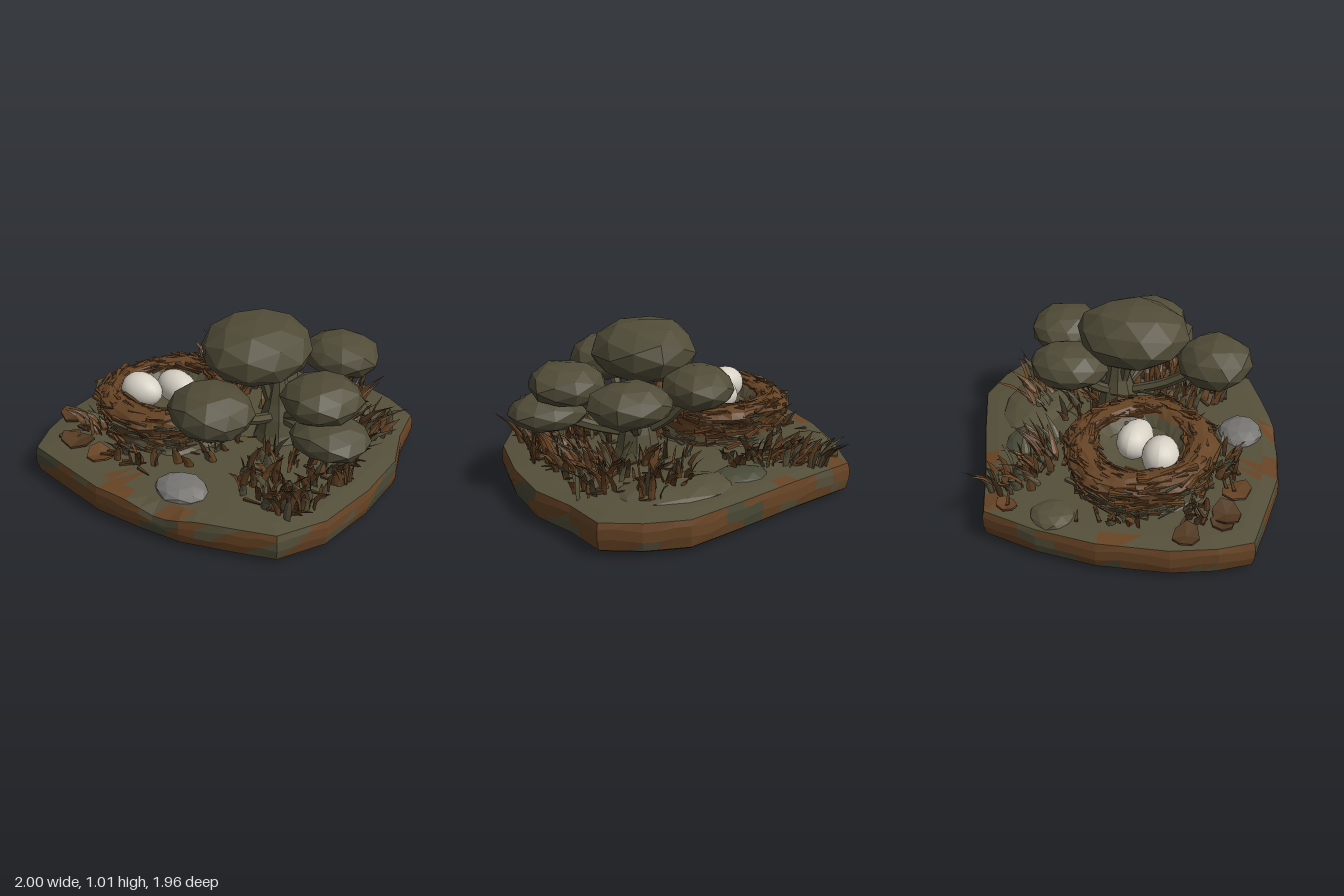
import * as THREE from 'three';
import { mergeGeometries } from 'three/addons/utils/BufferGeometryUtils.js';

const mat = (name, color, flatShading = true) => {
  const m = new THREE.MeshStandardMaterial({ color, flatShading });
  m.name = name;
  return m;
};

export function createModel() {
  const root = new THREE.Group();
  root.name = 'nestIsland';
  const M = {
    olive: mat('olive', 0x55503a),
    foliage: mat('foliage', 0x514c38),
    moss: mat('moss', 0x484936),
    brown: mat('brown', 0x674425),
    darkBrown: mat('darkBrown', 0x523921),
    egg: mat('eggshell', 0xd6d0c4, false),
    stone: mat('stone', 0x777673),
  };
  let seed = 7;
  const rnd = () => {
    seed = (seed * 16807) % 2147483647;
    return seed / 2147483647;
  };
  const range = (a, b) => a + (b - a) * rnd();
  const add = (name, geo, material, parent = root) => {
    const mesh = new THREE.Mesh(geo, material);
    mesh.name = name;
    parent.add(mesh);
    return mesh;
  };
  // move every vertex by a rule
  const warp = (geo, rule) => {
    const p = geo.attributes.position, v = new THREE.Vector3();
    for (let i = 0; i < p.count; i++) {
      rule(v.fromBufferAttribute(p, i));
      p.setXYZ(i, v.x, v.y, v.z);
    }
    geo.computeVertexNormals();
    return geo;
  };
  const wave = (x, y, z) => Math.sin(x * 5.1 + z * 3.7 + 1) * 0.5 + Math.sin(y * 9 - x * 7.3 + z * 6.1) * 0.5;

  // ground slab: scaled outline rings, faces sorted into earth and moss patches
  const outline = [[0.25, -0.98], [0.5, -0.94], [0.72, -0.85], [0.8, -0.6], [0.93, -0.35], [0.98, 0], [0.97, 0.38],
    [0.85, 0.66], [0.6, 0.78], [0.35, 0.89], [0.1, 0.94], [-0.2, 0.98], [-0.45, 0.96], [-0.78, 0.93], [-0.88, 0.75],
    [-0.96, 0.5], [-1, 0.1], [-0.97, -0.25], [-0.89, -0.58], [-0.5, -0.71], [-0.1, -0.86]];
  const edge = [];
  outline.forEach((a, i) => {
    const b = outline[(i + 1) % outline.length];
    for (let k = 0; k < 3; k++) edge.push([a[0] + (b[0] - a[0]) * k / 3, a[1] + (b[1] - a[1]) * k / 3]);
  });
  const rings = [[0, 0.005], [0.6, 0.005], [0.94, 0.012], [0.985, 0.04], [1, 0.1], [1, 0.16], [0.99, 0.2],
    [0.9, 0.213], [0.7, 0.225], [0.4, 0.235], [0, 0.24]];
  const bareSpots = [[-0.12, 0.88, 0.11], [-0.94, 0.2, 0.1], [-0.82, -0.55, 0.08], [-0.42, -0.7, 0.08], [0.3, 0.86, 0.08]];
  const patches = { olive: [], moss: [], brown: [] };
  // worn hollow in the front rim
  const dip = (x, z) => (z > 0.6 ? Math.exp(-(((x - 0.22) / 0.14) ** 2)) : 0);
  const corner = (r, i) => {
    const [x, z] = edge[i % edge.length], [s, y] = rings[r];
    const bump = r > 3 && r < 6 ? 0.012 * wave(x * 3, 0, z * 3) : 0;
    return [x * s, y + bump - (r === 5 || r === 6 ? 0.045 * dip(x, z) : 0), z * s];
  };
  const face = (r, ...pts) => {
    const [x, y, z] = [0, 1, 2].map(k => (pts[0][k] + pts[1][k] + pts[2][k]) / 3);
    const n = wave(x * 1.6, y * 2, z * 1.6);
    let key = 'olive';
    if (r < 2) key = x < -0.15 ? 'brown' : 'olive';
    else if (r < 6) key = n > 0.6 ? 'moss' : n < -0.6 || (r === 5 && dip(x, z) > 0.4) ? 'olive' : 'brown';
    else if (bareSpots.some(([sx, sz, d]) => Math.hypot(x - sx, z - sz) < d)) key = 'brown';
    patches[key].push(...pts.flat());
  };
  for (let r = 0; r < rings.length - 1; r++) {
    for (let i = 0; i < edge.length; i++) {
      const li = corner(r, i), lj = corner(r, i + 1), ui = corner(r + 1, i), uj = corner(r + 1, i + 1);
      if (r > 0) face(r, lj, li, ui);
      if (r < rings.length - 2) face(r, lj, ui, uj);
    }
  }
  const ground = new THREE.Group();
  ground.name = 'ground';
  root.add(ground);
  for (const key in patches) {
    const g = new THREE.BufferGeometry();
    g.setAttribute('position', new THREE.Float32BufferAttribute(patches[key], 3));
    g.computeVertexNormals();
    add('ground ' + key, g, M[key], ground);
  }

  // faceted blobs for foliage and rocks
  const blob = (name, [x, y, z], [rx, ry, rz], material) => {
    const g = warp(new THREE.IcosahedronGeometry(1, 1), v => {
      v.multiplyScalar(1.02 + 0.05 * wave(v.x + x * 3, v.y, v.z + z * 3));
      v.set(x + v.x * rx, y + v.y * ry, z + v.z * rz);
    });
    return add(name, g, material);
  };

  // tree: crowns, trunk and a branch to each crown
  const crowns = [
    [[0.17, 0.835, 0.015], [0.305, 0.18, 0.33]],
    [[-0.035, 0.685, -0.32], [0.205, 0.125, 0.23]],
    [[0.415, 0.68, -0.475], [0.235, 0.125, 0.205]],
    [[0.64, 0.675, 0.02], [0.225, 0.125, 0.23]],
    [[0.745, 0.5, 0.08], [0.23, 0.11, 0.205]],
    [[0.25, 0.665, 0.5], [0.24, 0.145, 0.225]],
  ];
  crowns.forEach(([c, r], i) => {
    blob('crown' + (i + 1), c, r, M.foliage);
    const path = new THREE.CatmullRomCurve3([
      new THREE.Vector3(0.25, 0.36, -0.09),
      new THREE.Vector3(0.25 + (c[0] - 0.25) * 0.5, 0.36 + (c[1] - 0.36) * 0.35, -0.09 + (c[2] + 0.09) * 0.5),
      new THREE.Vector3(...c)]);
    add('branch' + (i + 1), new THREE.TubeGeometry(path, 8, 0.032, 6), M.olive);
  });
  const trunk = add('trunk', new THREE.LatheGeometry([[0.17, 0.2], [0.13, 0.28], [0.11, 0.38], [0.08, 0.47], [0.04, 0.66]]
    .map(p => new THREE.Vector2(...p)), 9), M.olive);
  trunk.position.set(0.25, 0, -0.09);

  // nest wall, rim and hollow
  const nest = new THREE.Group();
  nest.name = 'nest';
  nest.position.set(-0.36, 0, 0.2);
  root.add(nest);
  const rise = (a, r) => r * (0.025 * Math.sin(a * 3 + 1) + 0.05 * Math.cos(a));
  const bowl = (name, pts, material) => {
    const g = warp(new THREE.LatheGeometry(pts.map(p => new THREE.Vector2(...p)), 36), v => {
      const a = Math.atan2(v.z, v.x), r = Math.hypot(v.x, v.z);
      const k = 1 + 0.035 * Math.sin(a * 5 + v.y * 20) + 0.02 * Math.sin(a * 11 - v.y * 30);
      v.set(v.x * k, v.y + rise(a, r), v.z * k);
    });
    return add(name, g, material, nest);
  };
  bowl('nestFoot', [[0.43, 0.19], [0.39, 0.24], [0.385, 0.29]], M.olive);
  bowl('nestWall', [[0.385, 0.29], [0.41, 0.36], [0.44, 0.42], [0.415, 0.455], [0.36, 0.48], [0.3, 0.475], [0.255, 0.44]], M.brown);
  bowl('nestHollow', [[0.255, 0.44], [0.21, 0.385], [0.13, 0.36], [0, 0.355]], M.olive);

  // twigs woven around the nest
  const twig = (x, y, z, len, yaw, tilt, w = 0.014) => {
    const g = new THREE.BoxGeometry(len, w * 0.7, w);
    warp(g, v => { if (v.x > 0) { v.y *= 0.3; v.z *= 0.3; } });
    g.rotateZ(tilt);
    g.rotateY(yaw);
    return g.translate(x, y, z);
  };
  const twigs = { brown: [], darkBrown: [], olive: [] };
  for (let i = 0; i < 340; i++) {
    const a = range(0, Math.PI * 2), t = rnd();
    const r = t < 0.6 ? 0.395 + 0.08 * t : range(0.24, 0.43);
    const y = (t < 0.6 ? 0.24 + 0.36 * t : 0.477 - Math.abs(r - 0.34) * 0.3) + rise(a, r);
    const key = t < 0.6 ? ['brown', 'olive', 'brown', 'olive', 'darkBrown'][i % 5] : ['brown', 'brown', 'darkBrown'][i % 3];
    twigs[key].push(twig(Math.cos(a) * r, y, Math.sin(a) * r, range(0.08, 0.2),
      -a - Math.PI / 2 + range(-0.3, 0.3) + (i % 2) * Math.PI, range(-0.2, 0.25), range(0.014, 0.03)));
  }
  for (const key in twigs) add('nestTwigs ' + key, mergeGeometries(twigs[key]), M[key], nest);

  // eggs
  [[-0.33, 0.445, 0.16, 0.15, 0.1, -0.1], [-0.46, 0.455, 0.335, 0.135, 0.105, 0.1]].forEach(([x, y, z, l, r, yaw], i) => {
    const g = warp(new THREE.SphereGeometry(1, 20, 14), v => {
      const k = 1 - 0.12 * v.x;
      v.set(v.x * l, v.y * r * k, v.z * r * k);
    });
    const egg = add('egg' + (i + 1), g, M.egg);
    egg.position.set(x, y, z);
    egg.rotation.y = yaw;
  });
  blob('eggSpeck', [-0.31, 0.525, 0.1], [0.018, 0.006, 0.012], M.olive);

  // broad curved grass blades, tapered to a tip
  const blade = (x, z, h, w, dx, dz) => {
    const g = new THREE.CylinderGeometry(w, w, h, 4, 3);
    g.scale(1, 1, 0.25);
    g.rotateY(range(0, 3.14));
    return warp(g.translate(0, h / 2, 0), v => {
      const t = v.y / h, k = 0.6 + 1.5 * t - 2.05 * t * t;
      v.set(x + v.x * k + dx * t * t * h, 0.205 + v.y * (1 - 0.15 * t), z + v.z * k + dz * t * t * h);
    });
  };
  // clumps: centre, spread, count, height, lean direction in the ground plane
  const clumps = [
    [-0.56, -0.45, 0.17, 0.12, 28, 0.2, -0.4, -0.4], [-0.34, -0.4, 0.18, 0.1, 20, 0.19, 0.3, -0.5],
    [-0.66, -0.55, 0.1, 0.05, 10, 0.23, -0.3, -0.3], [0.2, -0.58, 0.12, 0.08, 16, 0.22, 0, -0.6],
    [0.38, -0.68, 0.05, 0.07, 10, 0.27, 0.1, -0.4], [0.62, -0.42, 0.12, 0.14, 22, 0.22, 0.4, -0.3],
    [0.62, -0.2, 0.15, 0.1, 24, 0.22, 0.5, -0.2], [0.78, 0.2, 0.08, 0.2, 26, 0.23, 0.3, 0.1],
    [0.6, 0.4, 0.17, 0.12, 34, 0.23, 0.2, 0.2], [0.73, 0.46, 0.1, 0.08, 18, 0.25, 0.2, 0.2],
    [0.45, 0.25, 0.12, 0.15, 22, 0.23, 0.1, 0.2], [-0.2, 0.68, 0.14, 0.05, 14, 0.17, 0, 0.3],
    [-0.68, 0.56, 0.12, 0.07, 10, 0.14, -0.4, 0.3], [-0.8, 0.1, 0.04, 0.2, 8, 0.13, -0.3, 0],
    [0.08, 0.3, 0.08, 0.25, 18, 0.18, 0.2, 0.1], [0.64, 0, 0.15, 0.14, 26, 0.23, 0.3, 0],
    [0.4, -0.35, 0.14, 0.13, 24, 0.23, 0.1, -0.3], [0.12, -0.3, 0.14, 0.1, 18, 0.2, -0.1, -0.3],
  ];
  clumps.forEach(([cx, cz, sx, sz, n, h, dx, dz], i) => {
    const sets = { brown: [], darkBrown: [], olive: [] };
    for (let k = 0; k < n; k++) {
      sets[['brown', 'olive', 'brown', 'darkBrown'][k % 4]].push(blade(cx + range(-sx, sx), cz + range(-sz, sz),
        h * range(0.65, 1.15), range(0.018, 0.032), dx + range(-0.4, 0.4), dz + range(-0.4, 0.4)));
    }
    for (const key in sets) add('grass' + (i + 1) + ' ' + key, mergeGeometries(sets[key]), M[key]);
  });

  // fallen twigs on the ground
  const litter = [];
  for (let i = 0; i < 100; i++) {
    const [cx, cz, sx, sz] = clumps[i % clumps.length];
    litter.push(twig(cx + range(-sx, sx) * 1.2, 0.235, cz + range(-sz, sz) * 1.2, range(0.08, 0.16), range(-0.3, 0.9), 0.1, 0.02));
  }
  add('fallenTwigs', mergeGeometries(litter), M.darkBrown);

  // curled dry leaves
  [[-0.61, 0.74, 0.11, 0.3], [-0.4, 0.76, 0.1, -0.6], [-0.84, 0.56, 0.1, 0], [-0.82, -0.46, 0.07, 1], [-0.69, 0.73, 0.07, 1.2]]
    .forEach(([x, z, r, yaw], i) => {
      const g = warp(new THREE.CylinderGeometry(r, r, 0.012, 7, 2), v => {
        v.z *= 0.75;
        v.y += v.x * v.x * 3;
      });
      const leaf = add('dryLeaf' + (i + 1), g, i % 2 ? M.brown : M.darkBrown);
      leaf.position.set(x, 0.22, z);
      leaf.rotation.y = yaw;
    });

  // rocks and low mounds
  blob('paleRock', [0.19, 0.22, 0.69], [0.16, 0.06, 0.13], M.stone);
  blob('mossMound', [-0.82, 0.2, -0.19], [0.13, 0.05, 0.13], M.olive);
  blob('backMound', [0.2, 0.2, -0.6], [0.36, 0.07, 0.22], M.olive);
  blob('nestMound', [-0.2, 0.2, -0.55], [0.18, 0.055, 0.12], M.moss);
  return root;
}
